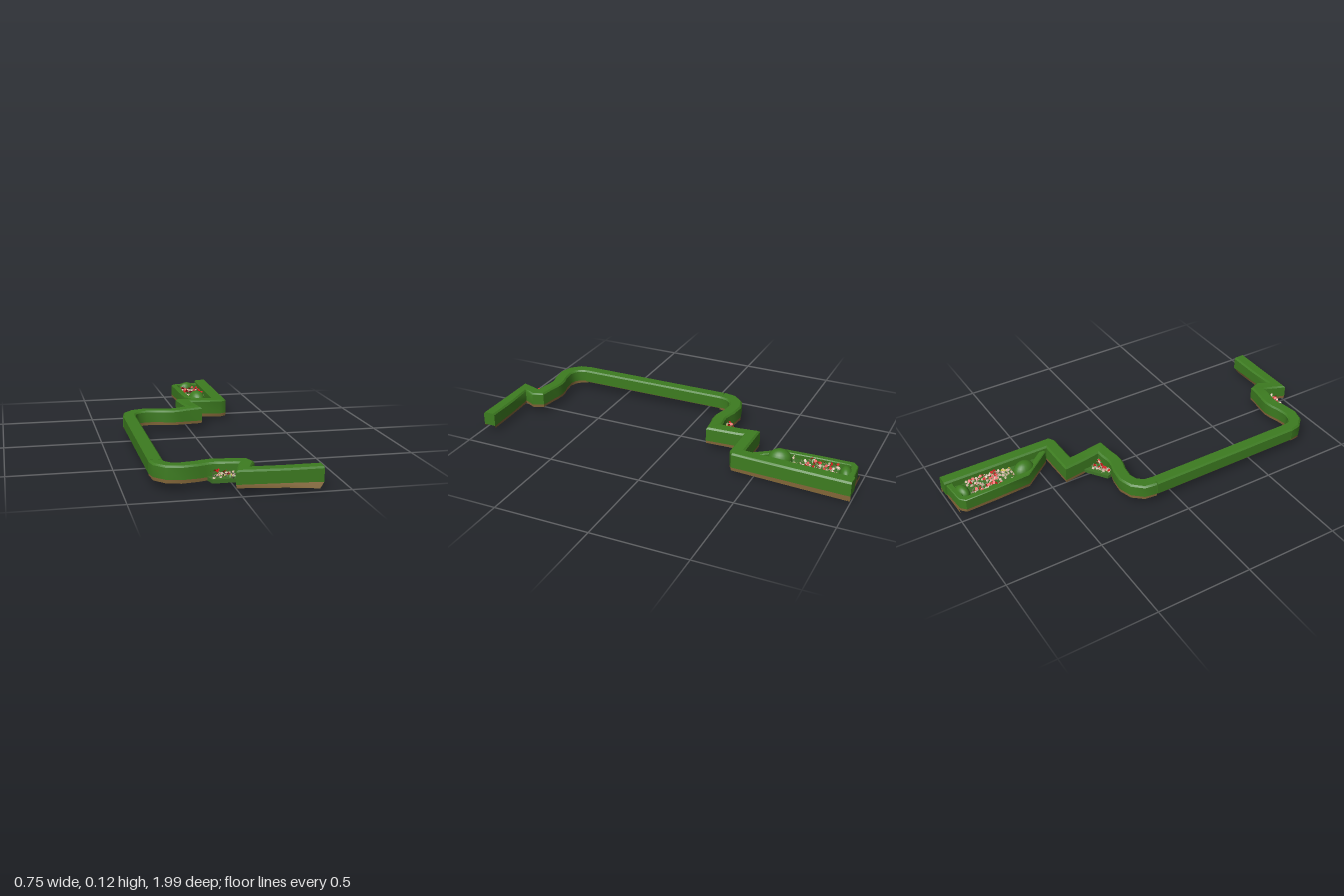
import * as THREE from 'three';
import { toCreasedNormals } from 'three/addons/utils/BufferGeometryUtils.js';

const mat = (name, color, side = THREE.FrontSide) => {
  const m = new THREE.MeshStandardMaterial({ color, side });
  m.name = name;
  return m;
};

// Sweeps an open cross-section along rows of [x, z, top, bottom, skirtBottom, flare], with mitred
// corners. profile(row) returns [sideways, height] points, counter-clockwise.
function sweep(rows, profile, capped) {
  const pos = [], rings = [];
  const dir = (a, b) => new THREE.Vector2(b[0] - a[0], b[1] - a[1]).normalize();
  rows.forEach((r, i) => {
    const d0 = dir(rows[Math.max(i - 1, 0)], rows[Math.max(i, 1)]);
    const d1 = i < rows.length - 1 ? dir(r, rows[i + 1]) : d0;
    const mid = d0.clone().add(d1).normalize();
    const miter = Math.min(1 / mid.dot(d0), 1.5);
    rings.push(profile(r).map(([a, y]) =>
      [r[0] + mid.y * a * miter, y, r[1] - mid.x * a * miter]));
  });
  const n = rings[0].length;
  for (let i = 0; i < rings.length - 1; i++) {
    for (let k = 0; k < n - 1; k++) {
      const A = rings[i], B = rings[i + 1];
      pos.push(...A[k], ...A[k + 1], ...B[k + 1], ...A[k], ...B[k + 1], ...B[k]);
    }
  }
  if (capped) {
    const A = rings[0], B = rings[rings.length - 1];
    for (let k = 1; k < n - 1; k++) {
      pos.push(...A[0], ...A[k + 1], ...A[k], ...B[0], ...B[k], ...B[k + 1]);
    }
  }
  const g = new THREE.BufferGeometry();
  g.setAttribute('position', new THREE.Float32BufferAttribute(pos, 3));
  return toCreasedNormals(g, 0.7);
}

export function createModel() {
  const group = new THREE.Group();
  const green = mat('hedge green', 0x3d7c20, THREE.DoubleSide);
  const brown = mat('soil brown', 0x86693a, THREE.DoubleSide);
  const bedGreen = mat('bed green', 0x3d7326);
  const leaf = mat('leaf green', 0x5c8a45, THREE.DoubleSide);
  const red = mat('flower red', 0xd01c1c, THREE.DoubleSide);
  const pale = mat('flower pale pink', 0xc9b09c, THREE.DoubleSide);
  const yellow = mat('flower yellow', 0xd0b840, THREE.DoubleSide);

  let seed = 7;
  const rnd = () => (seed = (seed * 16807) % 2147483647) / 2147483647;
  const add = (name, geometry, material, parent = group) => {
    const m = new THREE.Mesh(geometry, material);
    m.name = name;
    parent.add(m);
    return m;
  };

  // Hollow hedge with a bevelled top and thin soil skirts; skirts lists [side, first row]
  function hedge(name, rows, w, skirts = [[-1, 0], [1, 0]]) {
    const b = w * 0.25;
    add(name, sweep(rows, ([, , t, bot]) =>
      [[w, bot], [w, t - b], [w - b, t], [b - w, t], [-w, t - b], [-w, bot]], true), green);
    for (const [s, first] of skirts) {
      add(name + 'Soil', sweep(rows.slice(first), ([, , , bot, low, flare = 0]) =>
        [[s * w * 0.99, bot + 0.001], [s * w * 0.94 - flare, low]], false), brown);
    }
  }

  hedge('rearHedge', [
    [0.231, -0.997, 0.104, 0.03, 0.001], [0.226, -0.7, 0.108, 0.033, 0.009],
    [0.22, -0.405, 0.114, 0.036, 0.018], [0.212, -0.4, 0.114, 0.036, 0.018],
    [0.01, -0.4, 0.117, 0.041, 0.024], [0.018, -0.33, 0.117, 0.043, 0.027],
    [0.033, -0.203, 0.123, 0.049, 0.034], [-0.03, -0.195, 0.119, 0.05, 0.035],
    [-0.065, -0.187, 0.117, 0.051, 0.036], [-0.1, -0.185, 0.116, 0.052, 0.036],
    [-0.135, -0.192, 0.116, 0.053, 0.036], [-0.17, -0.203, 0.116, 0.053, 0.036],
    [-0.24, -0.211, 0.116, 0.053, 0.036], [-0.295, -0.194, 0.116, 0.053, 0.036],
    [-0.33, -0.155, 0.116, 0.053, 0.037], [-0.339, -0.1, 0.117, 0.053, 0.04],
  ], 0.034, [[1, 0], [-1, 3]]);
  hedge('sideHedge', [
    [-0.338, -0.1, 0.117, 0.05, 0.047], [-0.336, 0.75, 0.117, 0.05, 0.047],
  ], 0.033);
  hedge('frontHedge', [
    [-0.338, 0.74, 0.116, 0.053, 0.043], [-0.328, 0.79, 0.116, 0.053, 0.037],
    [-0.292, 0.828, 0.116, 0.053, 0.036], [-0.24, 0.842, 0.117, 0.053, 0.036],
    [-0.17, 0.832, 0.117, 0.052, 0.036], [-0.135, 0.821, 0.117, 0.052, 0.036],
    [-0.1, 0.816, 0.118, 0.051, 0.036], [-0.065, 0.819, 0.118, 0.051, 0.036],
    [-0.03, 0.826, 0.119, 0.051, 0.036], [0.042, 0.836, 0.119, 0.051, 0.036],
    [0.053, 0.862, 0.118, 0.051, 0.036], [0.017, 0.952, 0.115, 0.05, 0.034],
    [0.2, 0.952, 0.111, 0.046, 0.026, 0.006], [0.352, 0.952, 0.111, 0.041, 0.015, 0.013],
    [0.374, 0.952, 0.111, 0.04, 0.039],
  ], 0.033);

  // Soil face closing the rear end, sloping with the ground
  const endSoil = new THREE.Shape([[0.265, 0.03], [0.05, 0.032], [0.05, 0.015], [0.265, 0.002]]
    .map(([x, y]) => new THREE.Vector2(x, y)));
  add('rearEndSoil', new THREE.ShapeGeometry(endSoil), brown).position.z = -0.985;

  // Low rim around the planter
  hedge('planterRim', [
    [0.2, -0.972, 0.088, 0.03, 0.006], [0.075, -0.962, 0.088, 0.03, 0.013],
    [0.056, -0.945, 0.088, 0.03, 0.014], [0.061, -0.78, 0.089, 0.031, 0.015],
    [0.071, -0.605, 0.09, 0.032, 0.016], [0.188, -0.455, 0.095, 0.034, 0.017],
  ], 0.016, [[-1, 0]]);

  // Planting beds: flat slabs with a given outline in x and z
  function bed(name, outline, y, h) {
    const shape = new THREE.Shape(outline.map(([x, z]) => new THREE.Vector2(x, -z)));
    const g = new THREE.ExtrudeGeometry(shape, { depth: h, bevelEnabled: false });
    g.rotateX(-Math.PI / 2);
    add(name, g, bedGreen).position.y = y;
  }
  bed('planterBed', [[0.06, -0.95], [0.2, -0.965], [0.2, -0.45], [0.075, -0.605]], 0.05, 0.014);
  bed('rearBed', [[-0.125, -0.245], [0.005, -0.335], [0.02, -0.21], [-0.115, -0.205]], 0.036, 0.018);
  bed('frontBed', [[-0.125, 0.84], [0.01, 0.84], [0.005, 0.9], [-0.11, 0.9]], 0.036, 0.018);

  // Domed shrubs in the planter
  for (const [x, z, rx, ry, rz] of [
    [0.126, -0.595, 0.048, 0.06, 0.062], [0.13, -0.933, 0.048, 0.042, 0.032],
  ]) {
    const s = add('shrub', new THREE.SphereGeometry(1, 20, 8, 0, Math.PI * 2, 0, Math.PI / 2), green);
    s.scale.set(rx, ry, rz);
    s.position.set(x, 0.063, z);
    s.rotation.y = 0.25;
  }

  // Flowers: tilted petals facing all ways and upright leaf blades.
  // Red and yellow ones keep to their own [start, end] share of the patch.
  const petalGeo = new THREE.CircleGeometry(1, 6);
  function flowers(name, count, y, place, maxHeight, redSpan, yellowSpan) {
    const patch = new THREE.Group();
    patch.name = name;
    group.add(patch);
    for (let i = 0; i < count; i++) {
      const kind = i / count;
      const isRed = kind < 0.2, isYellow = kind > 0.94;
      const [start, end] = isRed ? redSpan : isYellow ? yellowSpan : [0, 1];
      const [x, z] = place(rnd(), start + (end - start) * rnd());
      const h = maxHeight * (isRed ? 0.6 + 0.4 * rnd() : 0.15 + 0.6 * rnd());
      const petal = add('petal', petalGeo, isRed ? red : isYellow ? yellow : pale, patch);
      petal.position.set(x, y + h, z);
      petal.scale.setScalar(isRed ? 0.0085 : 0.007);
      petal.rotation.set(-0.6 - rnd() * 0.5, rnd() * Math.PI * 2, 0, 'YXZ');
      if (i % 3 === 0) {
        const blade = add('leafBlade', petalGeo, leaf, patch);
        blade.scale.set(0.004, 0.011, 1);
        blade.position.set(x + 0.006, y + h * 0.6, z);
        blade.rotation.set(-0.7, rnd() * Math.PI * 2, 0, 'YXZ');
      }
    }
  }
  flowers('planterFlowers', 210, 0.064, (u, v) => [0.08 + u * 0.107, -0.895 + v * 0.25], 0.024,
    [0.05, 0.65], [0.75, 1]);
  flowers('rearFlowers', 75, 0.054, (u, v) => [-0.115 + v * 0.12, -0.222 - u * (0.02 + v * 0.075)], 0.034,
    [0, 0.9], [0, 1]);
  flowers('frontFlowers', 60, 0.054, (u, v) => [-0.115 + v * 0.11, 0.86 + u * 0.04], 0.034,
    [0, 0.85], [0, 1]);

  return group;
}
